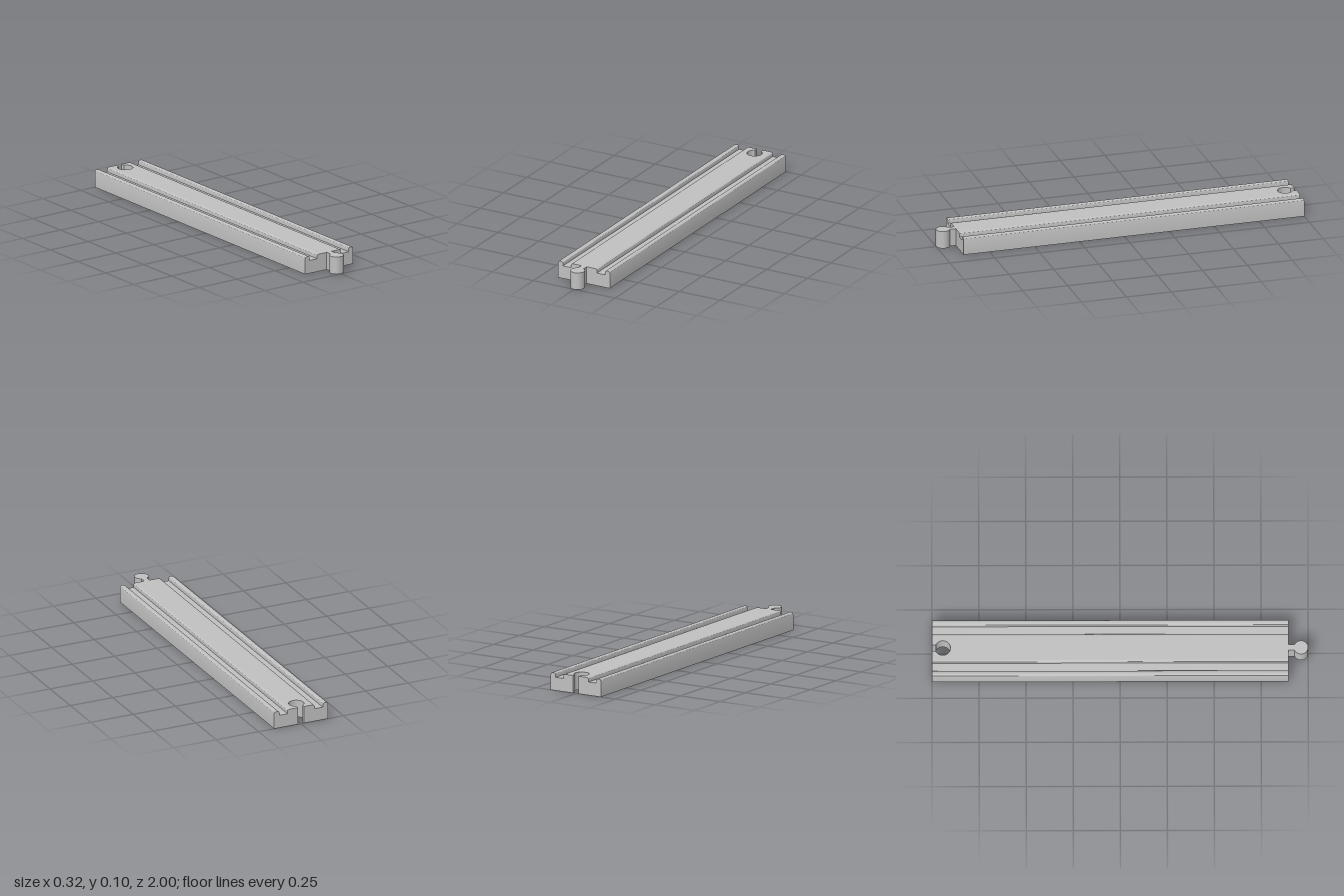
import * as THREE from 'three';
import { toCreasedNormals } from 'three/addons/utils/BufferGeometryUtils.js';

const HEIGHT = 0.096, GROOVE_Y = 0.072, HALF_WIDTH = 0.158;
const GROOVE_IN = 0.079, GROOVE_OUT = 0.128, ROUND = 0.011;
const BACK = -1, FRONT = 0.895, SEAM = 0.05;

// Drops the hidden walls where the deck and the rails meet, then smooths the curves
function finish(geometry) {
  const flat = geometry.index ? geometry.toNonIndexed() : geometry;
  const p = flat.attributes.position, kept = [];
  for (let i = 0; i < p.count; i += 3) {
    const onSeam = [0, 1, 2].every(k => Math.abs(Math.abs(p.getX(i + k)) - SEAM) < 1e-5);
    if (onSeam) continue;
    for (let k = 0; k < 3; k++) kept.push(p.getX(i + k), p.getY(i + k), p.getZ(i + k));
  }
  const out = new THREE.BufferGeometry();
  out.setAttribute('position', new THREE.Float32BufferAttribute(kept, 3));
  out.computeVertexNormals();
  return toCreasedNormals(out, 0.6);
}

// Centre strip in plan: socket notch at the back, neck and round peg at the front
function deckGeometry() {
  const socket = { y: 0.942, r: 0.041, half: 0.018 };
  const peg = { y: -0.962, r: 0.038, half: 0.016 };
  const a = Math.acos(socket.half / socket.r), b = Math.acos(peg.half / peg.r);
  const s = new THREE.Shape();
  s.moveTo(SEAM, -FRONT);
  s.lineTo(SEAM, -BACK);
  s.lineTo(socket.half, -BACK);
  s.absarc(0, socket.y, socket.r, a, Math.PI - a, true);
  s.lineTo(-socket.half, -BACK);
  s.lineTo(-SEAM, -BACK);
  s.lineTo(-SEAM, -FRONT);
  s.lineTo(-peg.half, -FRONT);
  s.absarc(0, peg.y, peg.r, Math.PI - b, b + Math.PI * 2, false);
  s.lineTo(peg.half, -FRONT);
  s.closePath();
  const g = new THREE.ExtrudeGeometry(s, { depth: HEIGHT, bevelEnabled: false, curveSegments: 40 });
  return finish(g.rotateX(-Math.PI / 2));
}

// Side section: deck edge, wheel groove and rounded outer lip
function railGeometry(side) {
  const s = new THREE.Shape();
  const line = (x, y) => s.lineTo(side * x, y);
  const round = (cx, cy, x, y) => s.quadraticCurveTo(side * cx, cy, side * x, y);
  s.moveTo(side * SEAM, 0);
  line(HALF_WIDTH, 0);
  line(HALF_WIDTH, HEIGHT - ROUND);
  round(HALF_WIDTH, HEIGHT, HALF_WIDTH - ROUND, HEIGHT);
  line(GROOVE_OUT + ROUND, HEIGHT);
  round(GROOVE_OUT, HEIGHT, GROOVE_OUT, HEIGHT - ROUND);
  line(GROOVE_OUT, GROOVE_Y);
  line(GROOVE_IN, GROOVE_Y);
  line(GROOVE_IN, HEIGHT - ROUND);
  round(GROOVE_IN, HEIGHT, GROOVE_IN - ROUND, HEIGHT);
  line(SEAM, HEIGHT);
  s.closePath();
  const g = new THREE.ExtrudeGeometry(s, { depth: FRONT - BACK, bevelEnabled: false, curveSegments: 8 });
  return finish(g.translate(0, 0, BACK));
}

export function createModel() {
  const group = new THREE.Group();
  group.name = 'trackPiece';
  const grey = new THREE.MeshStandardMaterial({ color: 0xc0c0c0 });
  grey.name = 'light grey';

  const add = (name, geometry) => {
    const mesh = new THREE.Mesh(geometry, grey);
    mesh.name = name;
    group.add(mesh);
  };
  add('deckWithPegAndSocket', deckGeometry());
  add('leftGroovedRail', railGeometry(1));
  add('rightGroovedRail', railGeometry(-1));
  return group;
}
